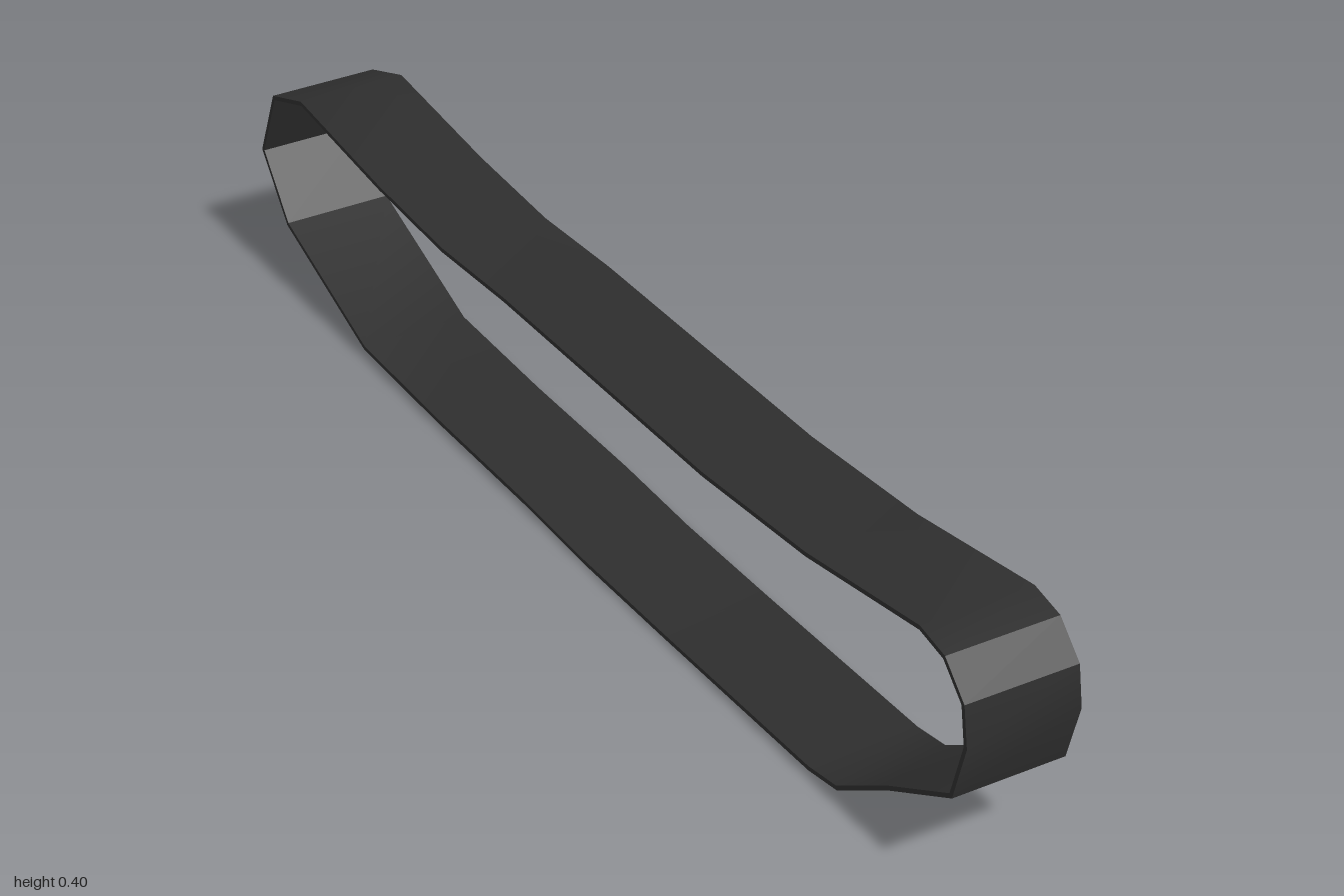
import * as THREE from 'three';
import { toCreasedNormals } from 'three/addons/utils/BufferGeometryUtils.js';

const WIDTH = 0.18;
const THICKNESS = 0.007;

// Outer side profile as [z, y], running over the front end, along the ground and back over the top
const PROFILE = [
  [0.885, 0.395], [0.943, 0.382], [0.99, 0.334], [1, 0.27], [0.973, 0.176],
  [0.826, 0.095], [0.709, 0.02], [0.639, 0.009], [0.25, 0.002], [0.03, 0],
  [-0.147, 0.006], [-0.42, 0.006], [-0.66, 0.013], [-0.92, 0.115], [-1, 0.218],
  [-0.95, 0.337], [-0.85, 0.371], [-0.59, 0.342], [-0.39, 0.33], [-0.2, 0.338],
  [0.355, 0.338], [0.617, 0.355],
];

// Moves a closed counter-clockwise outline inwards with mitred corners
function inset(points, distance) {
  const inward = (a, b) => {
    const d = b.clone().sub(a).normalize();
    return new THREE.Vector2(-d.y, d.x);
  };
  return points.map((p, i) => {
    const n1 = inward(points.at(i - 1), p);
    const n2 = inward(p, points[(i + 1) % points.length]);
    const mitre = n1.clone().add(n2).normalize();
    return p.clone().addScaledVector(mitre, distance / mitre.dot(n1));
  });
}

export function createModel() {
  const group = new THREE.Group();
  group.name = 'trackBelt';

  const rubber = new THREE.MeshStandardMaterial({ color: 0x2e2e2e });
  rubber.name = 'darkRubber';

  // Closed thin band: outer outline with an inset hole, extruded across the width
  const outer = PROFILE.map(([z, y]) => new THREE.Vector2(-z, y));
  if (THREE.ShapeUtils.area(outer) < 0) outer.reverse();
  const shape = new THREE.Shape(outer);
  shape.holes.push(new THREE.Path(inset(outer, THICKNESS)));

  const geometry = new THREE.ExtrudeGeometry(shape, { depth: WIDTH, bevelEnabled: false });
  geometry.translate(0, 0, -WIDTH / 2);
  geometry.rotateY(Math.PI / 2);

  // Gentle bends shade smoothly, tight corners stay sharp
  const band = new THREE.Mesh(toCreasedNormals(geometry, THREE.MathUtils.degToRad(30)), rubber);
  band.name = 'trackBand';
  group.add(band);
  return group;
}
